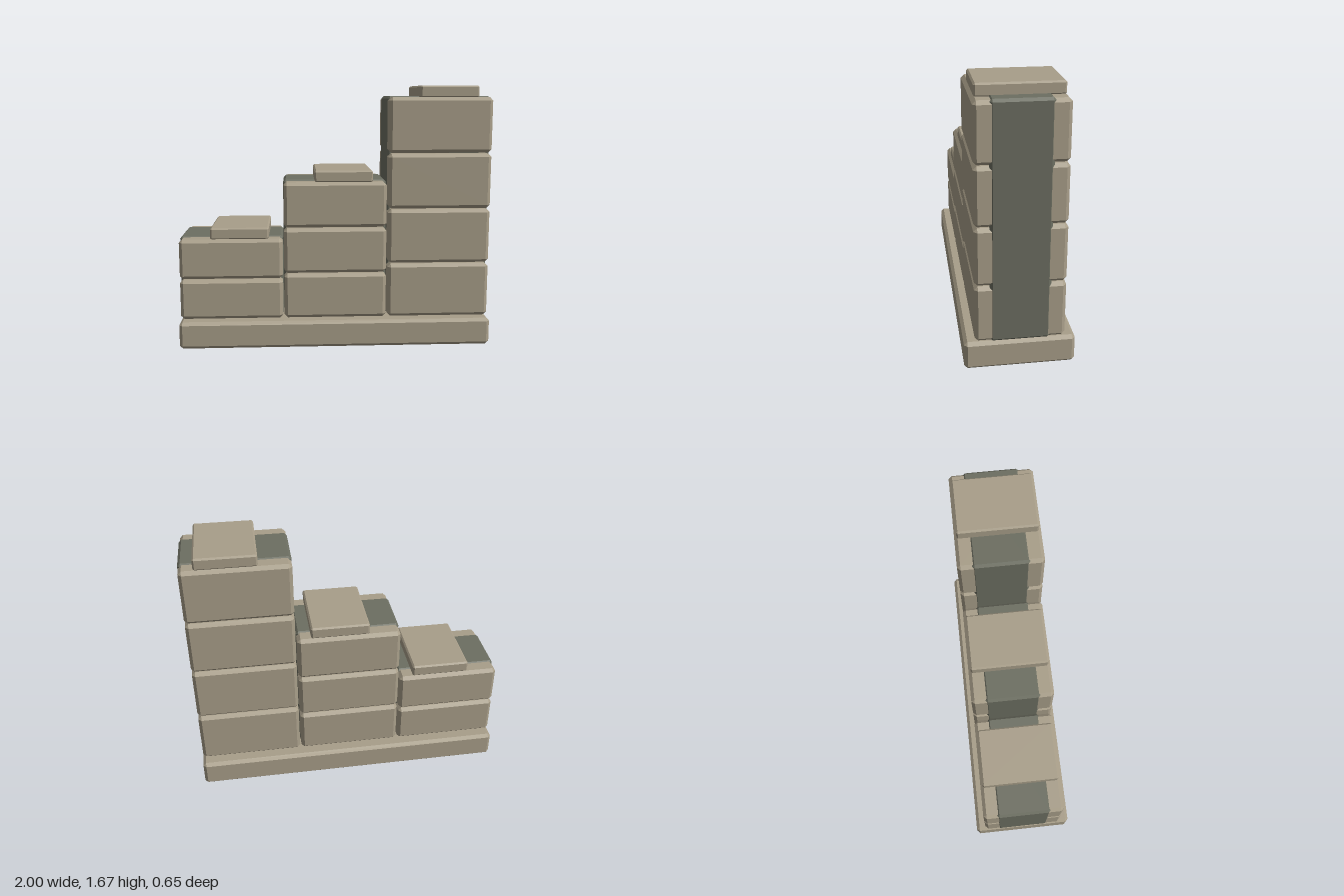
import * as THREE from 'three';
import { ConvexGeometry } from 'three/addons/geometries/ConvexGeometry.js';

// Box with every edge cut at 45 degrees
function chamferBox(w, h, d, c) {
  const half = [w / 2, h / 2, d / 2];
  const points = [];
  for (const sx of [-1, 1]) for (const sy of [-1, 1]) for (const sz of [-1, 1]) {
    const s = [sx, sy, sz];
    for (let face = 0; face < 3; face++) {
      points.push(new THREE.Vector3(...half.map((v, i) => s[i] * (i === face ? v : v - c))));
    }
  }
  return new ConvexGeometry(points);
}

export function createModel() {
  const model = new THREE.Group();
  model.name = 'steppedStoneWall';

  const stone = new THREE.MeshStandardMaterial({ color: 0xa89e89 });
  stone.name = 'pale stone';
  const infill = new THREE.MeshStandardMaterial({ color: 0x6c6e61 });
  infill.name = 'dark infill';

  function block(parent, name, material, size, x, y, chamfer) {
    const mesh = new THREE.Mesh(chamferBox(...size, chamfer), material);
    mesh.name = name;
    mesh.position.set(x, y, 0);
    parent.add(mesh);
  }

  // Plinth
  const baseTop = 0.175;
  block(model, 'plinth', stone, [2, baseTop, 0.65], 0, baseTop / 2, 0.02);

  // Three rising columns: stacked stones, a slightly proud core band and a cap slab
  const columns = [
    { name: 'lowColumn', x: -0.667, top: 0.703, courses: 2 },
    { name: 'middleColumn', x: 0, top: 1.065, courses: 3 },
    { name: 'tallColumn', x: 0.667, top: 1.597, courses: 4 },
  ];
  for (const { name, x, top, courses } of columns) {
    const column = new THREE.Group();
    column.name = name;
    model.add(column);

    const pitch = (top - baseTop) / courses;
    for (let i = 0; i < courses; i++) {
      block(column, 'stoneCourse', stone, [0.658, pitch - 0.006, 0.526], x, baseTop + pitch * (i + 0.5), 0.021);
    }
    const coreHeight = top - baseTop + 0.004;
    block(column, 'coreBand', infill, [0.664, coreHeight, 0.35], x, baseTop + coreHeight / 2, 0.016);
    block(column, 'capSlab', stone, [0.372, 0.075, 0.496], x + 0.055, top + 0.0315, 0.01);
  }

  return model;
}
